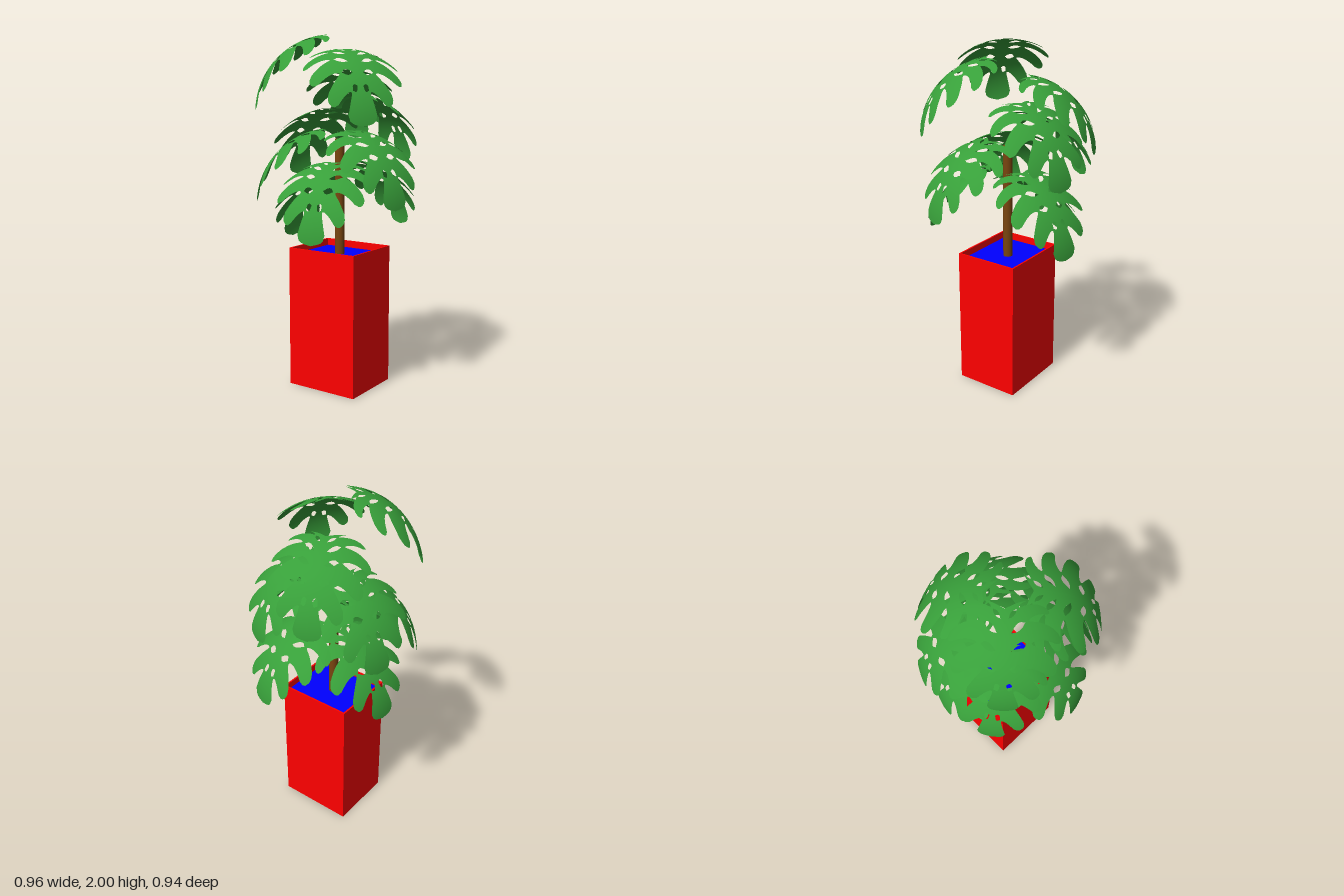
import * as THREE from 'three';
import { mergeVertices } from 'three/addons/utils/BufferGeometryUtils.js';

const LOBES = 6, ROWS = 28, COLS = 6;

// Half outline of the flat leaf: x sideways, y along the midrib
const outline = new THREE.SplineCurve([
  [0.02, -0.01], [0.11, -0.045], [0.2, -0.015], [0.265, 0.085], [0.28, 0.21],
  [0.24, 0.35], [0.165, 0.465], [0.085, 0.555], [0, 0.585],
].map(([x, y]) => new THREE.Vector2(x, y)));

// Gap between neighbouring lobes: a hole near the midrib, then a slit to the edge
function gap(t) {
  if (t > 0.17 && t < 0.4) return 0.2 * Math.sqrt(Math.sin(Math.PI * (t - 0.17) / 0.23));
  return t > 0.5 ? 0.25 * Math.sqrt((t - 0.5) / 0.5) : 0;
}

// Bend a flat leaf point into a drooping dome that leans towards +z
function bend(u, v) {
  const R = 0.43, a0 = 0.17, a = a0 + v / R, droop = 1.15 * u * u;
  return [
    u * (1 - 0.9 * u * u),
    R * (Math.cos(a) - Math.cos(a0)) - droop * Math.cos(a),
    0.12 + R * (Math.sin(a) - Math.sin(a0)) - droop * Math.sin(a) * 0.6,
  ];
}

function leafGeometry() {
  const pos = [], index = [];
  for (const side of [1, -1]) {
    for (let i = 0; i < LOBES; i++) {
      const start = pos.length / 3;
      for (let r = 0; r <= ROWS; r++) {
        for (let c = 0; c <= COLS; c++) {
          const t = r / ROWS, g = gap(t);
          const lo = i === 0 ? 0 : g, hi = i === LOBES - 1 ? 1 : 1 - g;
          const k = lo + (hi - lo) * c / COLS;
          const s = (i + k) / LOBES;
          // round off each finger end, except along the midrib
          const w = i === LOBES - 1 ? Math.min(0, 2 * c / COLS - 1) : 2 * c / COLS - 1;
          const reach = t * (1 - 0.11 * Math.abs(w) ** 3);
          const e = outline.getPoint(s), root = 0.43 * s;
          const sweep = 0.06 * Math.sin(Math.PI * s) * Math.sin(Math.PI * reach);
          pos.push(...bend(side * e.x * reach, root + (e.y - root) * reach - sweep));
        }
      }
      for (let r = 0; r < ROWS; r++) {
        for (let c = 0; c < COLS; c++) {
          const a = start + r * (COLS + 1) + c, b = a + 1, d = a + COLS + 1, e = d + 1;
          if (side > 0) index.push(a, b, d, b, e, d);
          else index.push(a, d, b, b, d, e);
        }
      }
    }
  }
  let geo = new THREE.BufferGeometry();
  geo.setAttribute('position', new THREE.Float32BufferAttribute(pos, 3));
  geo.setIndex(index);
  geo = mergeVertices(geo, 1e-5);
  geo.computeVertexNormals();
  return geo;
}

export function createModel() {
  const model = new THREE.Group();
  const add = (name, geo, color, x, y, z, side = THREE.FrontSide) => {
    const mesh = new THREE.Mesh(geo, new THREE.MeshStandardMaterial({ color, side }));
    mesh.name = name;
    mesh.position.set(x, y, z);
    model.add(mesh);
    return mesh;
  };

  // Square pot with thin walls
  const W = 0.44, D = 0.38, H = 0.81, wall = 0.01, cz = 0.01, red = 0xff0000;
  const rect = (Type, w, d) => new Type([[-w, -d], [w, -d], [w, d], [-w, d]]
    .map(([x, y]) => new THREE.Vector2(x / 2, y / 2)));
  const walls = rect(THREE.Shape, W, D);
  walls.holes.push(rect(THREE.Path, W - 2 * wall, D - 2 * wall));
  const wallGeo = new THREE.ExtrudeGeometry(walls, { depth: H, bevelEnabled: false });
  add('potWalls', wallGeo.rotateX(-Math.PI / 2), red, 0, 0, cz);
  add('potBase', new THREE.BoxGeometry(W - 2 * wall, 0.02, D - 2 * wall), red, 0, 0.01, cz);

  // Soil and trunk
  const soilY = 0.77;
  const soil = new THREE.PlaneGeometry(W - 2 * wall, D - 2 * wall).rotateX(-Math.PI / 2);
  add('soil', soil, 0x0000ff, 0, soilY, cz, THREE.DoubleSide);
  const trunkH = 1.43 - soilY;
  add('trunk', new THREE.CylinderGeometry(0.027, 0.027, trunkH, 20), 0x7a4510, 0, soilY + trunkH / 2, cz);

  // Leaves: height of the crown, heading in degrees from the front, outward shift
  const leaf = leafGeometry();
  const leaves = [
    [1.998, -46, 0], [1.918, 48, 0.01], [1.818, -158, 0], [1.688, 160, -0.01], [1.598, -114, 0.01],
    [1.483, -54, 0], [1.478, 70, 0.015], [1.303, 15, 0], [1.228, -102, -0.05], [1.303, 164, 0],
  ];
  leaves.forEach(([y, heading, shift], i) => {
    const mesh = add(`leaf${i + 1}`, leaf, 0x38a03a, 0, y, 0, THREE.DoubleSide);
    mesh.rotation.y = THREE.MathUtils.degToRad(heading);
    mesh.translateZ(shift);
  });
  return model;
}
